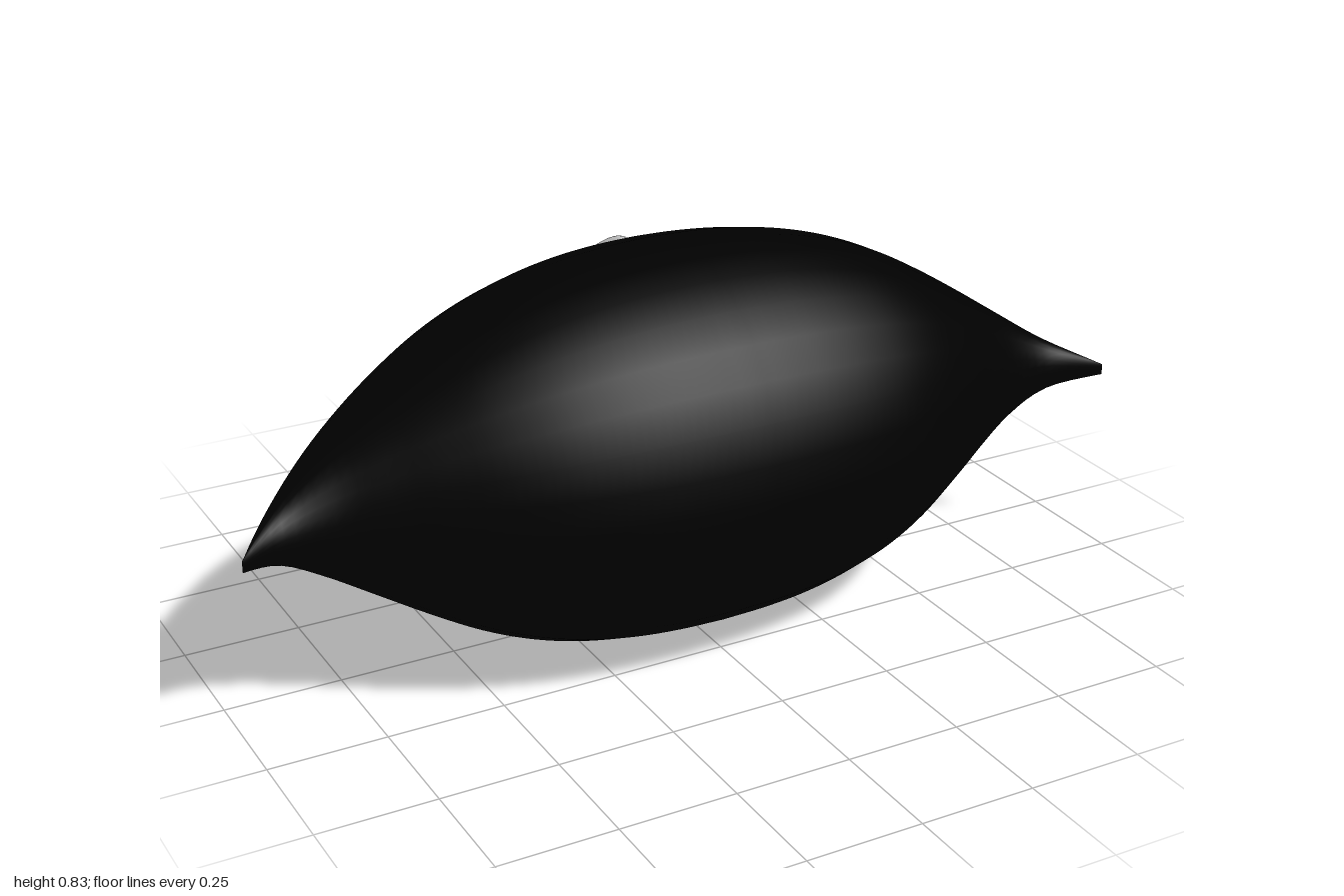
import * as THREE from 'three';

const CY = 0.414; // height of the body axis
const CZ = 0.032; // depth of the body axis at the middle

// Closed rings joined along a path; point(i, angle) gives each corner
function loft(rings, sides, point) {
  const pos = [], index = [];
  for (let i = 0; i <= rings; i++) {
    for (let j = 0; j < sides; j++) pos.push(...point(i, (j / sides) * Math.PI * 2));
  }
  for (let i = 0; i < rings; i++) {
    for (let j = 0; j < sides; j++) {
      const k = (j + 1) % sides;
      const a = i * sides + j, b = a + sides, c = (i + 1) * sides + k, d = i * sides + k;
      index.push(a, b, c, a, c, d);
    }
  }
  const geo = new THREE.BufferGeometry();
  geo.setAttribute('position', new THREE.Float32BufferAttribute(pos, 3));
  geo.setIndex(index);
  geo.computeVertexNormals();
  return geo;
}

// Half height and front z at even steps from the middle to the tip
const profile = new THREE.CatmullRomCurve3([
  [0.413, 0.441], [0.41, 0.438], [0.401, 0.429], [0.383, 0.411], [0.354, 0.382],
  [0.312, 0.339], [0.256, 0.284], [0.193, 0.225], [0.126, 0.174], [0.06, 0.157],
  [0.012, 0.2],
].map(([h, z]) => new THREE.Vector3(h, z, 0)), false, 'catmullrom', 0.5);

// The back follows a circular arc from tip to tip
const BACK_R = 1.154;
const backZ = (x) => 0.777 - Math.sqrt(BACK_R ** 2 - x * x);

function bodyGeometry() {
  const rings = 82;
  return loft(rings, 32, (i, a) => {
    // the first and last rings close the tips
    const x = THREE.MathUtils.clamp((i - 1) / (rings - 2), 0, 1) * 2 - 1;
    const cap = i === 0 || i === rings ? 0 : 1;
    const { x: ry, y: front } = profile.getPoint(Math.abs(x));
    const back = backZ(x);
    return [
      x,
      CY + cap * ry * Math.sin(a),
      (front + back) / 2 + cap * ((front - back) / 2) * Math.cos(a),
    ];
  });
}

// Upright crescent wrapped around the back, widest in the middle, with blunt ends
function slitGeometry() {
  const rings = 64, reach = THREE.MathUtils.degToRad(62);
  return loft(rings, 32, (i, a) => {
    const s = (i / rings) * 2 - 1, t = Math.abs(s), phi = s * reach;
    const cap = Math.sqrt(1 - t ** 14);
    const width = 0.146 * (1 - 0.88 * t ** 1.3) * cap;
    const bulge = (0.022 + 0.066 * (1 - 0.85 * t ** 1.25)) * cap;
    const r = 0.387 + 0.01 * t + bulge * Math.sin(a);
    return [-width * Math.cos(a), CY + r * Math.sin(phi), CZ - r * Math.cos(phi)];
  });
}

export function createModel() {
  const group = new THREE.Group();
  const add = (name, geo, color) => {
    const mesh = new THREE.Mesh(geo, new THREE.MeshStandardMaterial({ color }));
    mesh.name = name;
    group.add(mesh);
  };
  add('eyeBody', bodyGeometry(), 0x000000);
  add('slitPupil', slitGeometry(), 0xcccccc);
  return group;
}
